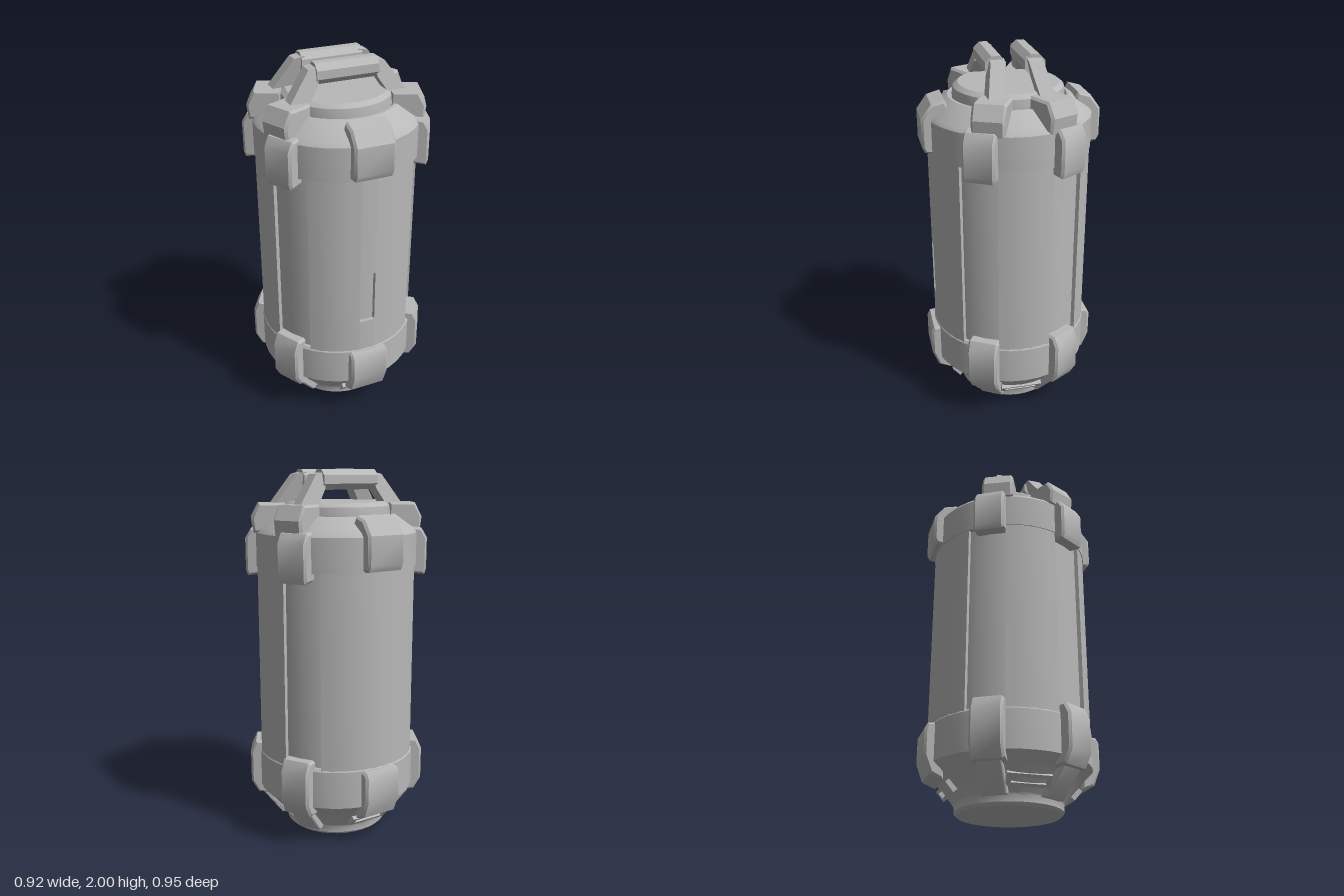
import * as THREE from 'three';
import { toCreasedNormals } from 'three/addons/utils/BufferGeometryUtils.js';

const rad = THREE.MathUtils.degToRad;

export function createModel() {
  const root = new THREE.Group();
  const metal = new THREE.MeshStandardMaterial({ color: 0xb8b8b8 });
  metal.name = 'grey metal';

  const add = (name, geo, angle = 0) => {
    const mesh = new THREE.Mesh(geo, metal);
    mesh.name = name;
    mesh.rotation.y = rad(angle); // angle from the front (+z) towards +x
    root.add(mesh);
    return mesh;
  };
  const vectors = (pts) => pts.map(([x, y]) => new THREE.Vector2(x, y));
  const lathe = (pts) => toCreasedNormals(new THREE.LatheGeometry(vectors(pts), 36), rad(30));

  // Bevelled block from a side profile of (radius, height) points, facing +z
  const block = (profile, width, bevel = 0.012) => {
    const geo = new THREE.ExtrudeGeometry(new THREE.Shape(vectors(profile)), {
      depth: width - 2 * bevel, bevelEnabled: true, bevelSegments: 1,
      bevelSize: bevel, bevelThickness: bevel, bevelOffset: -bevel,
    });
    geo.translate(0, 0, bevel - width / 2);
    geo.rotateY(-Math.PI / 2);
    return toCreasedNormals(geo, rad(32));
  };

  // Curved wall plate between two angles and two heights
  const plate = (a0, a1, y0, y1, r0 = 0.4, r1 = 0.435) => {
    const n = Math.max(2, Math.ceil((a1 - a0) / 8));
    const pts = [];
    for (let i = 0; i <= n; i++) {
      const a = rad(a0 + ((a1 - a0) * i) / n);
      pts.push([r1 * Math.sin(a), -r1 * Math.cos(a)]);
    }
    for (let i = n; i >= 0; i--) {
      const a = rad(a0 + ((a1 - a0) * i) / n);
      pts.push([r0 * Math.sin(a), -r0 * Math.cos(a)]);
    }
    const geo = new THREE.ExtrudeGeometry(new THREE.Shape(vectors(pts)), { depth: y1 - y0, bevelEnabled: false });
    geo.rotateX(-Math.PI / 2);
    geo.translate(0, y0, 0);
    return toCreasedNormals(geo, rad(30));
  };

  // Main shell: inner core, lower collar, upper collar with lid
  add('core', lathe([[0.415, 0.4], [0.415, 1.53]]));
  add('lowerCollar', lathe([
    [0, 0], [0.27, 0], [0.285, 0.015], [0.285, 0.05], [0.29, 0.06],
    [0.4, 0.19], [0.44, 0.23], [0.44, 0.435], [0.43, 0.45], [0.41, 0.45],
  ]));
  add('upperCollar', lathe([
    [0.41, 1.49], [0.44, 1.49], [0.44, 1.67], [0.425, 1.69], [0.32, 1.765], [0.305, 1.765], [0.295, 1.74],
  ]));
  add('lid', lathe([[0.295, 1.73], [0.295, 1.77], [0.29, 1.81], [0.265, 1.83], [0, 1.83]]));

  // Wall plates; the front one is split around a small recessed window
  const [low, high] = [0.44, 1.5];
  add('frontPlateRight', plate(-43, -6.6, low, high));
  add('frontPlateLeft', plate(4.8, 43, low, high));
  add('frontPlateLower', plate(-6.6, 4.8, low, 0.63));
  add('frontPlateUpper', plate(-6.6, 4.8, 0.93, high));
  add('backPlate', plate(-43, 43, low, high), 180);
  for (const a of [90, -90]) add('sidePlate', plate(-19, 19, low, high), a);

  // Front and back clasps
  const upperClasp = block([
    [0.38, 1.49], [0.46, 1.5], [0.475, 1.53], [0.475, 1.68], [0.42, 1.755], [0.35, 1.775], [0.33, 1.73],
  ], 0.22);
  const lowerClasp = block([
    [0.38, 0.44], [0.46, 0.43], [0.475, 0.4], [0.475, 0.26], [0.44, 0.17], [0.37, 0.14],
  ], 0.22);
  for (const a of [0, 180]) {
    add('upperClasp', upperClasp, a);
    add('lowerClasp', lowerClasp, a);
  }

  // Corner clasps, the shoulder blocks that carry the handles, and lower straps
  const cornerUpper = block([
    [0.39, 1.45], [0.48, 1.44], [0.49, 1.47], [0.49, 1.64], [0.46, 1.69], [0.38, 1.7],
  ], 0.17);
  const cornerLower = block([
    [0.38, 0.49], [0.46, 0.49], [0.49, 0.43], [0.49, 0.25], [0.45, 0.18], [0.38, 0.17],
  ], 0.17);
  const shoulder = block([
    [0.27, 1.69], [0.45, 1.67], [0.46, 1.75], [0.42, 1.825], [0.28, 1.825],
  ], 0.17);
  const strap = block([[0.38, 0.22], [0.45, 0.22], [0.43, 0.18], [0.315, 0.04], [0.26, 0.05]], 0.13, 0.006);
  for (const side of [1, -1]) {
    for (const base of [0, 180]) {
      add('cornerClaspUpper', cornerUpper, base + side * 60);
      add('cornerClaspLower', cornerLower, base + side * 60);
      add('shoulderBlock', shoulder, base + side * 65);
      add('lowerStrap', strap, base + side * 60);
    }
  }

  // Slotted vent frames on the lower slope
  const rect = (w, h) => vectors([[-w, -h], [w, -h], [w, h], [-w, h]]);
  const frame = new THREE.Shape(rect(0.115, 0.033));
  frame.holes.push(new THREE.Path(rect(0.09, 0.016)));
  const vent = new THREE.ExtrudeGeometry(frame, { depth: 0.03, bevelEnabled: false });
  vent.translate(0, 0, -0.022);
  vent.rotateX(rad(40));
  vent.translate(0, 0.11, 0.335);
  for (const a of [0, 90, 180, 270]) add('ventFrame', vent, a);

  // Two carrying handles: faceted grip with an angled arm at each end
  const grip = new THREE.CylinderGeometry(0.057, 0.057, 0.335, 8).toNonIndexed();
  grip.rotateY(Math.PI / 8);
  grip.rotateZ(Math.PI / 2);
  grip.computeVertexNormals();
  for (const front of [1, -1]) {
    add('handleGrip', grip).position.set(0, 1.947, front * 0.1);
    for (const side of [1, -1]) {
      const outline = [[0.15, 1.985], [0.205, 1.975], [0.355, 1.77], [0.34, 1.74], [0.25, 1.76], [0.16, 1.9]];
      const arm = new THREE.ExtrudeGeometry(
        new THREE.Shape(vectors(outline.map(([x, y]) => [x * side, y]))),
        { depth: 0.075, bevelEnabled: false },
      );
      // Lean the arm inward as it rises
      const p = arm.attributes.position;
      for (let i = 0; i < p.count; i++) {
        p.setZ(i, p.getZ(i) - 0.0375 + front * (0.145 - (p.getY(i) - 1.75) * 0.22));
      }
      arm.computeVertexNormals();
      add('handleArm', arm);
    }
  }
  return root;
}
